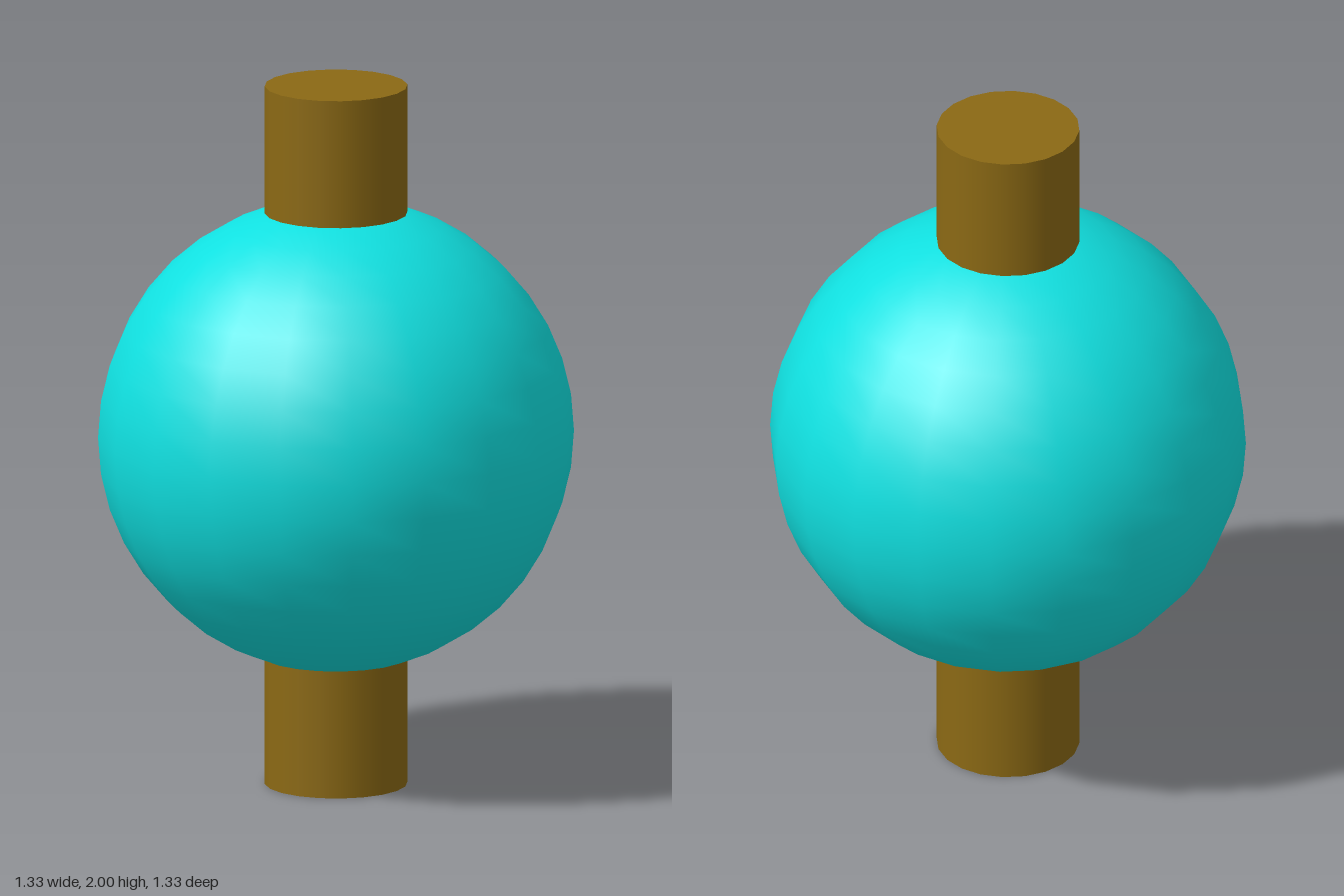
import * as THREE from 'three';

export function createModel() {
  const group = new THREE.Group();
  const add = (name, geometry, color) => {
    const mesh = new THREE.Mesh(geometry, new THREE.MeshStandardMaterial({ color }));
    mesh.name = name;
    mesh.position.y = 1;
    group.add(mesh);
  };

  // round body
  add('sphere', new THREE.SphereGeometry(0.667, 20, 20), 0x10e0e0);
  // rod running through the body from top to bottom
  add('rod', new THREE.CylinderGeometry(0.2, 0.2, 2, 20), 0x8b6914);

  return group;
}
